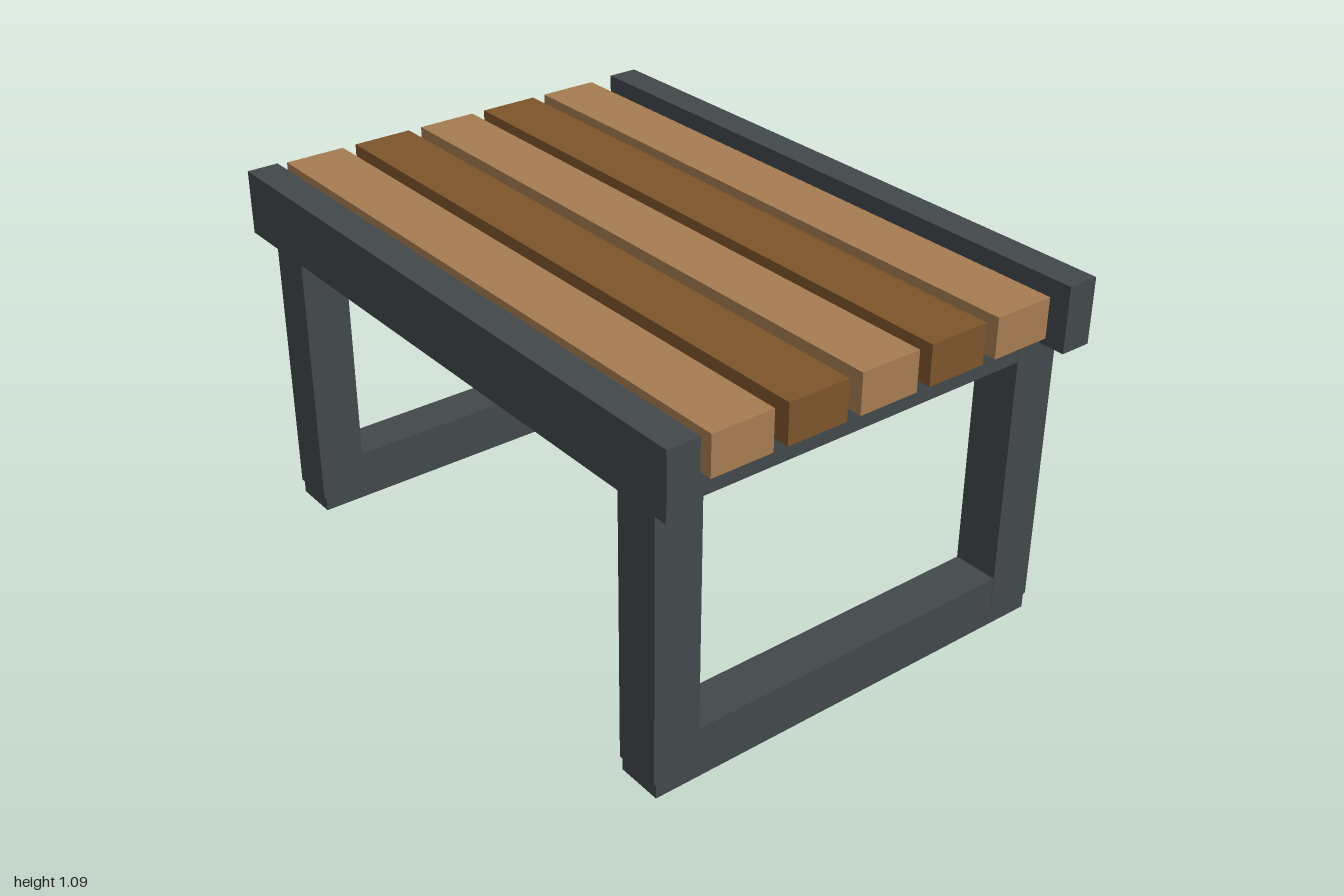
import * as THREE from 'three';

export function createModel() {
  const model = new THREE.Group();
  model.name = 'slattedBench';

  const steel = new THREE.MeshStandardMaterial({ name: 'dark steel', color: 0x42484b });
  const lightWood = new THREE.MeshStandardMaterial({ name: 'light wood', color: 0xa67c52 });
  const darkWood = new THREE.MeshStandardMaterial({ name: 'dark wood', color: 0x7d552b });

  // Box given by its extents along each axis
  function box(name, material, [x0, x1], [y0, y1], [z0, z1], parent = model) {
    const mesh = new THREE.Mesh(new THREE.BoxGeometry(x1 - x0, y1 - y0, z1 - z0), material);
    mesh.position.set((x0 + x1) / 2, (y0 + y1) / 2, (z0 + z1) / 2);
    mesh.name = name;
    parent.add(mesh);
  }

  // Rectangular leg frames, one at each end
  for (const [side, x] of [['left', 0.846], ['right', -0.846]]) {
    const frame = new THREE.Group();
    frame.name = side + 'LegFrame';
    frame.position.x = x;
    model.add(frame);
    const post = [-0.072, 0.072], bar = [-0.071, 0.071];
    box('frontPost', steel, post, [0.046, 1.01], [0.54, 0.685], frame);
    box('backPost', steel, post, [0.046, 1.01], [-0.683, -0.538], frame);
    box('floorBar', steel, bar, [0, 0.157], [-0.676, 0.678], frame);
    box('topBar', steel, bar, [0.858, 1.012], [-0.676, 0.678], frame);
  }

  // Long rails along the front and back edges
  box('frontRail', steel, [-1, 1], [0.892, 1.09], [0.618, 0.716]);
  box('backRail', steel, [-1, 1], [0.892, 1.09], [-0.716, -0.618]);

  // Seat slats in alternating wood tones
  for (let i = 0; i < 5; i++) {
    const z = 0.492 - i * 0.234;
    box('slat' + (i + 1), i % 2 ? darkWood : lightWood, [-1, 1], [0.965, 1.085], [z - 0.095, z + 0.095]);
  }

  return model;
}
